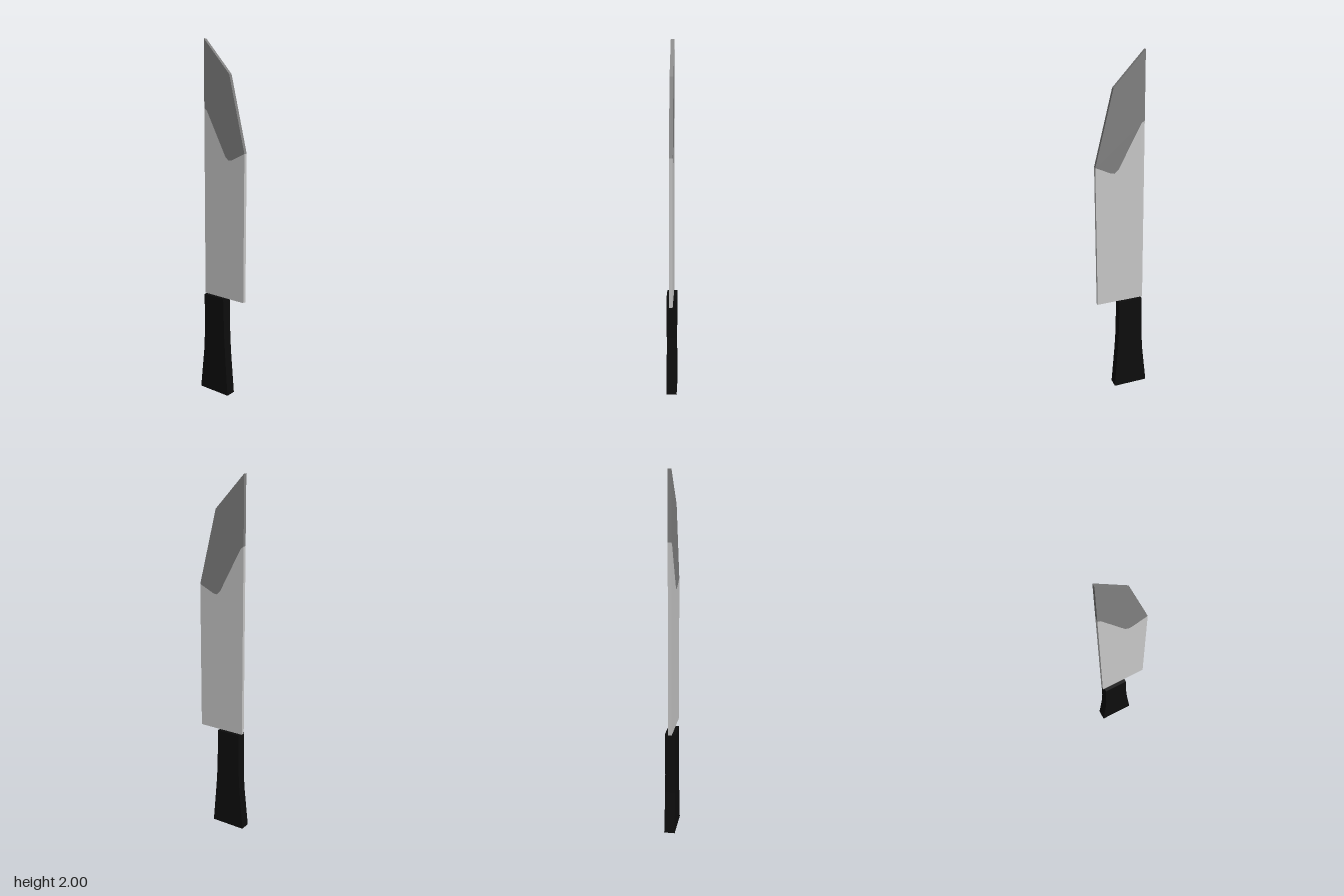
import * as THREE from 'three';

const mat = (name, color) => {
  const m = new THREE.MeshStandardMaterial({ color });
  m.name = name;
  return m;
};

// Flat plate from a [z, y] outline, centred on x = 0
function plate(name, outline, thickness, material) {
  const shape = new THREE.Shape(outline.map(([z, y]) => new THREE.Vector2(z, y)));
  const geo = new THREE.ExtrudeGeometry(shape, { depth: thickness, bevelEnabled: false });
  geo.translate(0, 0, -thickness / 2).rotateY(-Math.PI / 2);
  const mesh = new THREE.Mesh(geo, material);
  mesh.name = name;
  return mesh;
}

export function createModel() {
  const model = new THREE.Group();
  model.name = 'knife';
  const steel = mat('light steel', 0xc8c8c8);
  const darkSteel = mat('dark steel', 0x808080);
  const black = mat('black handle', 0x0d0d0d);

  // Border between the two blade colours, cutting edge to spine
  const border = [[0.147, 1.415], [0.06, 1.373], [0.042, 1.37], [0.02, 1.388], [-0.108, 1.627], [-0.125, 1.64]];

  // Blade body and angled tip
  model.add(plate('bladeBody', [[-0.125, 0.588], [0.147, 0.588], ...border], 0.02, steel));
  model.add(plate('bladeTip', [...[...border].reverse(), [0.045, 1.82], [-0.125, 2]], 0.02, darkSteel));

  // Handle: box rings reshaped to a waisted grip; rows are [y, half width, back z, front z]
  const rings = [
    [0, 0.03, -0.147, 0.053],
    [0.24, 0.028, -0.123, 0.034],
    [0.35, 0.028, -0.117, 0.027],
    [0.588, 0.03, -0.115, 0.021],
  ];
  const box = new THREE.BoxGeometry(1, 1, 1, 1, rings.length - 1, 1);
  const p = box.attributes.position;
  for (let i = 0; i < p.count; i++) {
    const [y, w, back, front] = rings[Math.round((p.getY(i) + 0.5) * (rings.length - 1))];
    p.setXYZ(i, Math.sign(p.getX(i)) * w, y, p.getZ(i) > 0 ? front : back);
  }
  const grip = box.toNonIndexed();
  grip.computeVertexNormals();
  const handle = new THREE.Mesh(grip, black);
  handle.name = 'handle';
  model.add(handle);

  return model;
}
